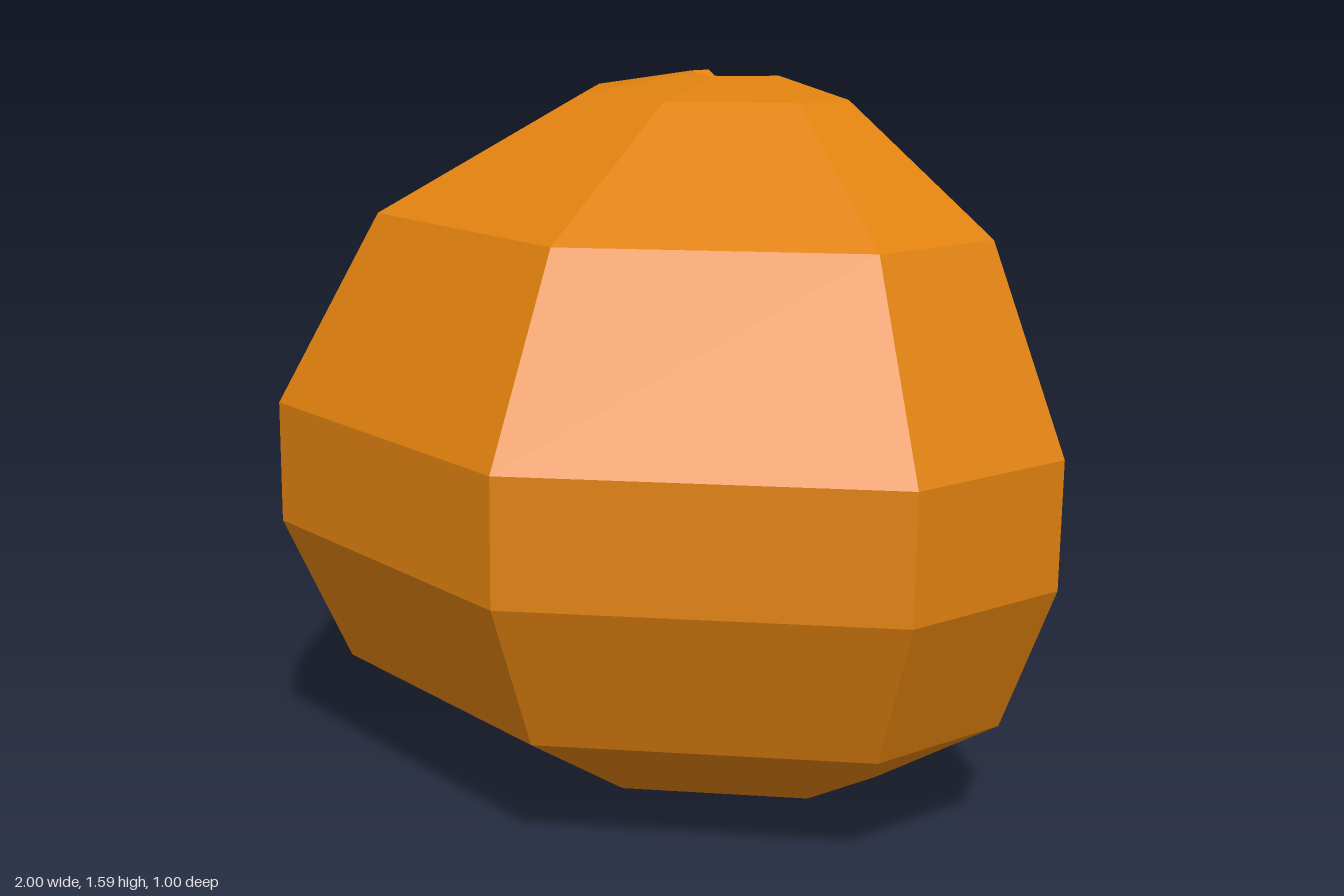
import * as THREE from 'three';

const CUT_Z = -0.5;
const peel = new THREE.MeshStandardMaterial({ color: 0xe0810f });
peel.name = 'orange peel';
const pith = new THREE.MeshStandardMaterial({ color: 0xe0bb9b });
pith.name = 'pale pith';
const stem = new THREE.MeshStandardMaterial({ color: 0x5f3d14 });
stem.name = 'dark stem';

// Half of an octagon with flat sides at distance a from the axis
function halfOctagon(a, y) {
  const k = a * Math.tan(Math.PI / 8);
  return [[a, 0], [a, k], [k, a], [-k, a], [-a, k], [-a, 0]]
    .map(([x, z]) => new THREE.Vector3(x, y, z + CUT_Z));
}

// Faceted skin through half-octagon sections, profile runs bottom to top
function halfSkin(profile) {
  const rings = profile.map(([a, y]) => halfOctagon(a, y));
  const points = [];
  for (let r = 0; r < rings.length - 1; r++) {
    for (let i = 0; i < 5; i++) {
      const a = rings[r][i], b = rings[r][i + 1];
      const d = rings[r + 1][i], c = rings[r + 1][i + 1];
      if (profile[r][0] > 0) points.push(b, a, d);
      if (profile[r + 1][0] > 0) points.push(b, d, c);
    }
  }
  const geometry = new THREE.BufferGeometry().setFromPoints(points);
  geometry.computeVertexNormals();
  return geometry;
}

const toShape = (pts) => new THREE.Shape(pts.map(([x, y]) => new THREE.Vector2(x, y)));

export function createModel() {
  const group = new THREE.Group();
  group.name = 'halvedOrange';
  const add = (name, geometry, material) => {
    const mesh = new THREE.Mesh(geometry, material);
    mesh.name = name;
    group.add(mesh);
    return mesh;
  };

  // Peel, with a dimple at both ends
  const profile = [
    [0.07, 0.05], [0.125, 0], [0.5, 0.03], [0.86, 0.265], [1, 0.6],
    [1, 0.875], [0.785, 1.295], [0.35, 1.55], [0.12, 1.59], [0.05, 1.55],
  ];
  add('peel', halfSkin(profile), peel);

  // Dark ends inside the dimples
  add('bottomNavel', halfSkin([[0, 0.05], [0.07, 0.05]]), stem);
  add('topStem', halfSkin([[0.05, 1.55], [0, 1.55]]), stem);

  // Flat cut side
  const outline = [...profile, ...profile.map(([x, y]) => [-x, y]).reverse()];
  const cut = new THREE.ShapeGeometry(toShape(outline));
  cut.rotateY(Math.PI);
  cut.translate(0, 0, CUT_Z);
  add('cutFace', cut, peel);

  // Pith markings on the cut side
  const markings = {
    pithCore: [
      [0.61, 1.285], [0.32, 1.52], [0.05, 1.525], [-0.14, 1.535], [-0.26, 1.475],
      [-0.125, 1.495], [-0.066, 1.46], [-0.045, 1.28], [-0.168, 0.79], [-0.05, 0.29],
      [-0.06, 0.11], [0.075, 0.068], [0.22, 0.08], [0.355, 0.115], [0.2, 0.105],
      [0.066, 0.135], [0.05, 0.29], [0.168, 0.79], [0.045, 1.28], [0.06, 1.44],
      [0.1, 1.48], [0.31, 1.47],
    ],
    pithLeft: [
      [0.74, 1.155], [0.96, 0.855], [0.96, 0.65], [0.785, 0.39], [0.883, 0.69], [0.883, 0.85],
    ],
    pithUpperRight: [
      [-0.46, 1.385], [-0.755, 1.26], [-0.857, 0.934], [-0.72, 1.225],
    ],
    pithLowerRight: [
      [-0.095, 0.1], [-0.14, 0.058], [-0.5, 0.076], [-0.82, 0.31],
      [-0.864, 0.578], [-0.755, 0.34], [-0.46, 0.13],
    ],
  };
  for (const [name, pts] of Object.entries(markings)) {
    const plate = new THREE.ExtrudeGeometry(toShape(pts), { depth: 0.006, bevelEnabled: false });
    add(name, plate, pith).position.z = CUT_Z - 0.003;
  }
  return group;
}
